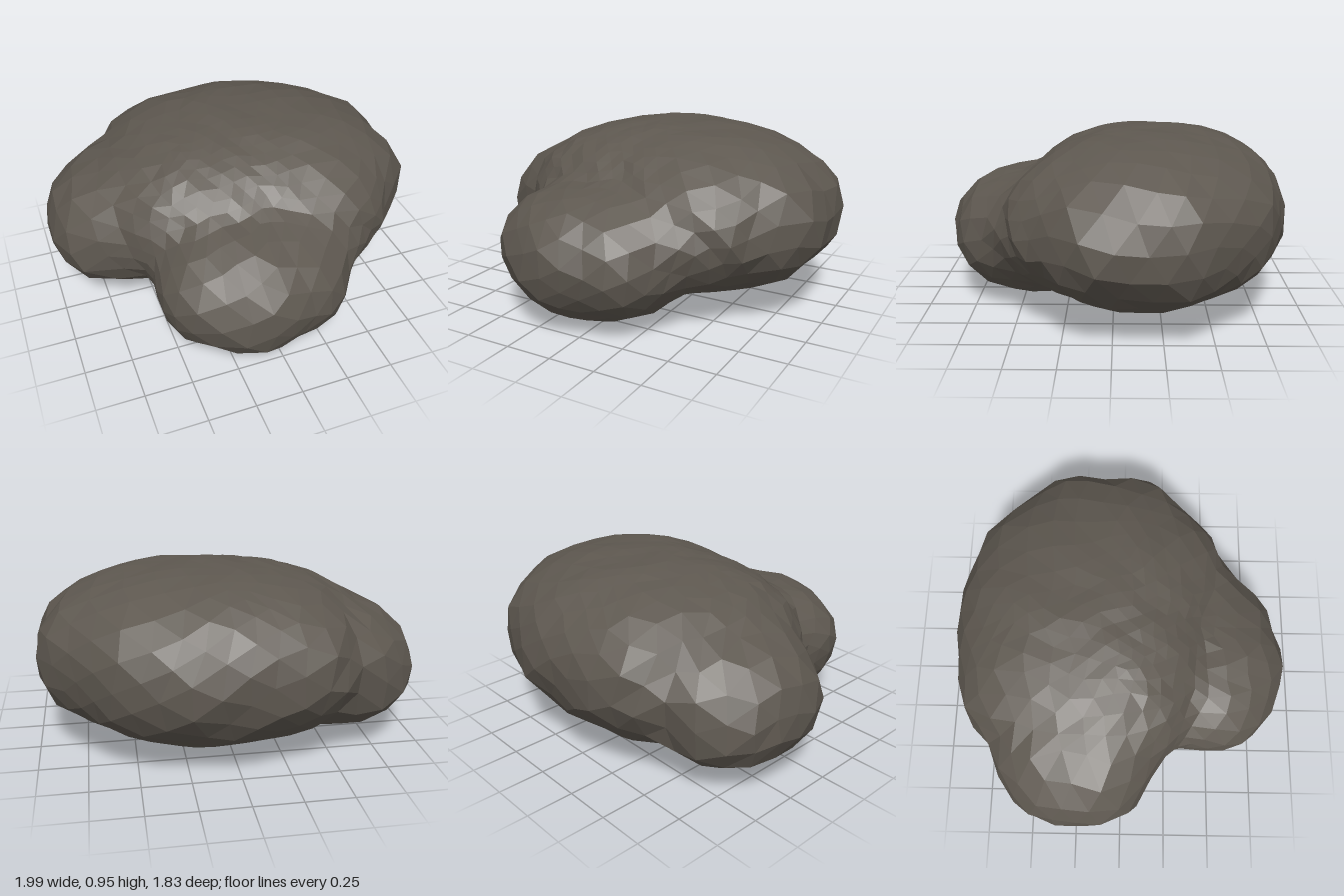
import * as THREE from 'three';

const stone = new THREE.MeshStandardMaterial({ color: 0x5e5850 });
stone.name = 'dark stone';
stone.flatShading = true;

// Radius of a closed plan outline at any angle, interpolated between its points
function outlineRadius(points, cx, cz) {
  const polar = points
    .map(([x, z]) => [Math.atan2(z - cz, x - cx), Math.hypot(x - cx, z - cz)])
    .sort((a, b) => a[0] - b[0]);
  const first = polar[0], last = polar[polar.length - 1];
  polar.unshift([last[0] - 2 * Math.PI, last[1]]);
  polar.push([first[0] + 2 * Math.PI, first[1]]);
  return (angle) => {
    const i = polar.findIndex((p) => p[0] > angle);
    const [a0, r0] = polar[i - 1], [a1, r1] = polar[i];
    return r0 + ((r1 - r0) * (angle - a0)) / (a1 - a0);
  };
}

// Rough distance to a rounded lobe with a plan outline, a crown height and a belly depth
function lobe({ center: [cx, cy, cz], outline, up, down, crown, belly, size }) {
  const radius = outlineRadius(outline, cx, cz);
  return (p) => {
    const x = p.x - cx, y = p.y - cy, z = p.z - cz;
    const a = Math.hypot(x, z) / radius(Math.atan2(z, x));
    const b = Math.abs(y) / (y > 0 ? up : down);
    const n = y > 0 ? crown : belly;
    return (Math.pow(a ** n + b ** n, 1 / n) - 1) * size;
  };
}

const lobes = [
  // broad main mass
  lobe({
    center: [0.12, 0.5, -0.2], up: 0.455, down: 0.48, crown: 2.3, belly: 1.88, size: 0.6,
    outline: [
      [0.07, -0.91], [-0.2, -0.89], [-0.5, -0.8], [-0.65, -0.6], [-0.75, -0.3], [-0.77, 0],
      [-0.63, 0.25], [-0.38, 0.41], [0, 0.47], [0.3, 0.52], [0.5, 0.54], [0.68, 0.46],
      [0.75, 0.37], [0.93, 0.22], [1, 0.08], [0.98, -0.1], [0.98, -0.37], [0.87, -0.52],
      [0.73, -0.67], [0.6, -0.79], [0.37, -0.87],
    ],
  }),
  // lobe bulging out at the front
  lobe({
    center: [-0.08, 0.36, 0.38], up: 0.35, down: 0.36, crown: 2.3, belly: 2, size: 0.42,
    outline: [
      [0.43, 0.58], [0.28, 0.81], [0.1, 0.87], [-0.1, 0.91], [-0.25, 0.88], [-0.4, 0.81],
      [-0.5, 0.72], [-0.58, 0.6], [-0.57, 0.37], [-0.5, 0.12], [-0.1, -0.05], [0.3, 0.1], [0.44, 0.36],
    ],
  }),
  // shoulder filling the corner between the front lobe and the left flank
  lobe({
    center: [0.27, 0.45, 0.27], up: 0.3, down: 0.28, crown: 2, belly: 2, size: 0.36,
    outline: [
      [0.65, 0.27], [0.62, 0.45], [0.5, 0.56], [0.27, 0.66], [0, 0.54], [-0.08, 0.27],
      [0, 0], [0.27, -0.08], [0.54, 0],
    ],
  }),
  // lobe on the right flank
  lobe({
    center: [-0.54, 0.38, -0.22], up: 0.385, down: 0.31, crown: 2.2, belly: 2, size: 0.4,
    outline: [
      [-1, -0.22], [-0.92, -0.53], [-0.7, -0.69], [-0.57, -0.67], [-0.3, -0.6], [-0.12, -0.24],
      [-0.3, 0.18], [-0.55, 0.22], [-0.71, 0.18], [-0.92, 0.07],
    ],
  }),
];

// The lobes joined, with their seams softly filled
const BLEND = 0.02;
const field = (p) => -BLEND * Math.log(lobes.reduce((sum, f) => sum + Math.exp(-f(p) / BLEND), 0));

// Distance from the core to the outermost surface along a direction
function reach(core, d) {
  const p = new THREE.Vector3();
  const at = (t) => field(p.copy(core).addScaledVector(d, t));
  let t = 1.4;
  while (t > 0.1 && at(t) > 0) t -= 0.02;
  let near = t, far = t + 0.02;
  for (let i = 0; i < 10; i++) {
    const mid = (near + far) / 2;
    if (at(mid) > 0) far = mid; else near = mid;
  }
  return near;
}

export function createModel() {
  const group = new THREE.Group();
  group.name = 'boulder';

  const core = new THREE.Vector3(-0.03, 0.44, 0.04);
  const geometry = new THREE.IcosahedronGeometry(1, 7);
  const pos = geometry.attributes.position;
  const d = new THREE.Vector3();
  for (let i = 0; i < pos.count; i++) {
    d.fromBufferAttribute(pos, i).normalize();
    const { x, y, z } = d;
    // uneven spacing of the facets
    d.x += 0.035 * Math.sin(9 * y + 7 * z + 1.3);
    d.y += 0.035 * Math.sin(8 * z - 9 * x + 2.6);
    d.z += 0.035 * Math.sin(10 * x + 8 * y + 3.9);
    d.normalize();
    // shallow dents and bumps
    const bump = 0.01 * Math.sin(11 * x + 5 * y + 1.3) * Math.sin(9 * z - 6 * y + 1.3)
      + 0.008 * Math.sin(17 * y + 13 * x - 11 * z);
    d.multiplyScalar(reach(core, d) * (1 + bump)).add(core);
    pos.setXYZ(i, d.x, Math.max(0, d.y), d.z);
  }
  geometry.computeVertexNormals();

  const rock = new THREE.Mesh(geometry, stone);
  rock.name = 'rock';
  group.add(rock);
  return group;
}
